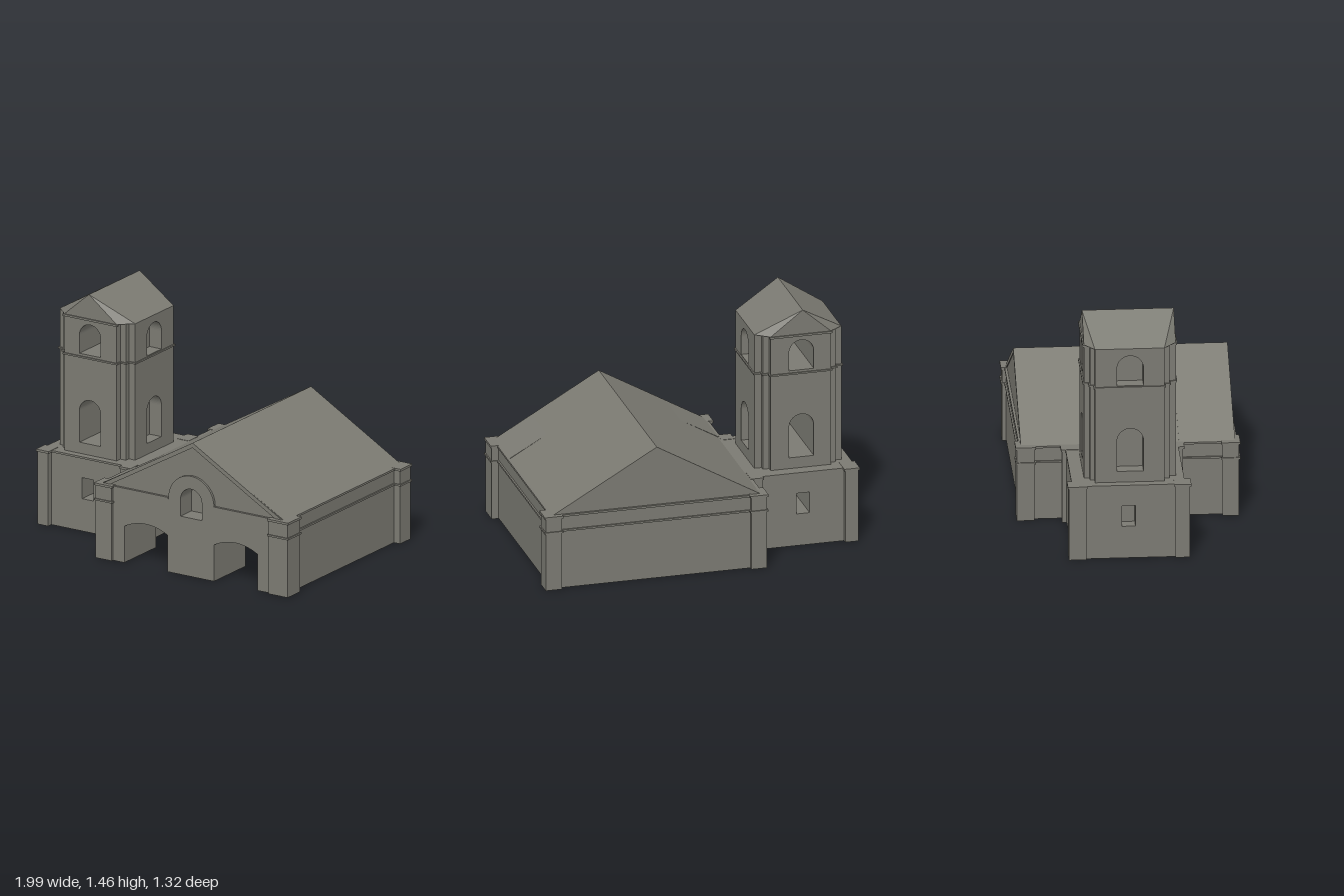
import * as THREE from 'three';

const stone = new THREE.MeshStandardMaterial({ color: 0x7b7a72 });
stone.name = 'stone';

export function createModel() {
  const root = new THREE.Group();
  root.name = 'churchWithBellTower';

  const add = (name, geo) => {
    const m = new THREE.Mesh(geo, stone);
    m.name = name;
    root.add(m);
    return m;
  };
  const box = (name, x0, x1, y0, y1, z0, z1) => {
    const g = new THREE.BoxGeometry(x1 - x0, y1 - y0, z1 - z0);
    g.translate((x0 + x1) / 2, (y0 + y1) / 2, (z0 + z1) / 2);
    return add(name, g);
  };
  const poly = (pts) => new THREE.Shape(pts.map(([x, y]) => new THREE.Vector2(x, y)));
  const rect = (x0, x1, y0, y1) => poly([[x0, y0], [x1, y0], [x1, y1], [x0, y1]]);
  // round-headed opening
  const arch = (cx, r, y0, top) => {
    const p = new THREE.Path();
    p.moveTo(cx - r, y0);
    p.lineTo(cx + r, y0);
    p.lineTo(cx + r, top - r);
    p.absarc(cx, top - r, r, 0, Math.PI, false);
    p.lineTo(cx - r, y0);
    return p;
  };
  const extrude = (shape, depth) =>
    new THREE.ExtrudeGeometry(shape, { depth, bevelEnabled: false, curveSegments: 14 });
  // shape drawn in (x, y), running along z
  const alongZ = (name, shape, z0, z1) => add(name, extrude(shape, z1 - z0).translate(0, 0, z0));
  // shape drawn in (-z, y), running along x
  const alongX = (name, shape, x0, x1) =>
    add(name, extrude(shape, x1 - x0).rotateY(Math.PI / 2).translate(x0, 0, 0));

  // ---- Hall: facade with two low arches, gable and niche window ----
  const L = -0.335, R = 0.945, ridgeX = 0.305, eave = 0.46, ridge = 0.825;
  const facadeOutline = (top) => {
    const s = new THREE.Shape();
    s.moveTo(L, 0);
    for (const [a, b] of [[-0.17, 0.135], [0.46, 0.765]]) {
      s.lineTo(a, 0);
      s.lineTo(a, 0.225);
      s.quadraticCurveTo((a + b) / 2, 0.305, b, 0.225);
      s.lineTo(b, 0);
    }
    s.lineTo(R, 0);
    s.lineTo(R, eave);
    top(s);
    s.lineTo(L, eave);
    s.holes.push(arch(0.3, 0.075, 0.36, 0.54));
    return s;
  };
  alongZ('frontWallAndGable', facadeOutline((s) => s.lineTo(ridgeX, ridge - 0.005)), 0.3, 0.622);
  alongZ('frontFacing', facadeOutline((s) => {
    s.lineTo(0.46, eave);
    s.absarc(0.3, eave, 0.16, 0, Math.PI, false);
  }), 0.622, 0.637);
  box('windowBack', 0.22, 0.38, 0.35, 0.55, 0.5, 0.52);

  box('rightWall', L, L + 0.06, 0, eave, -0.63, 0.3);
  box('leftWall', R - 0.06, R, 0, eave, -0.63, 0.3);
  box('backWall', L, R, 0, eave, -0.63, -0.57);
  alongZ('backGable', poly([[L + 0.01, eave], [R - 0.01, eave], [ridgeX, ridge - 0.005]]), -0.625, -0.58);
  alongZ('hallRoof', poly([[-0.33, eave], [-0.28, eave], [ridgeX, ridge - 0.03],
    [0.89, eave], [0.94, eave], [ridgeX, ridge]]), -0.63, 0.63);

  // corner piers with caps and string courses
  const pier = (x0, x1, z0, z1, string) => {
    box('pier', x0, x1, 0, eave - 0.008, z0, z1);
    const o = 0.007;
    box('pierCap', x0 - o, x1 + o, eave - 0.01, eave + 0.004, z0 - o, z1 + o);
    if (string) box('pierString', x0 - o, x1 + o, 0.357, 0.368, z0 - o, z1 + o);
  };
  pier(-0.363, -0.25, 0.555, 0.652, true);
  pier(0.855, 0.988, 0.52, 0.652, true);
  pier(-0.36, -0.265, -0.655, -0.55, true);
  pier(0.89, 0.988, -0.655, -0.545, true);

  // wall string courses and top cornices
  for (const [y0, y1] of [[0.357, 0.368], [0.45, 0.462]]) {
    box('leftCornice', R - 0.01, R + 0.01, y0, y1, -0.63, 0.6);
    box('rightCornice', L - 0.01, L + 0.01, y0, y1, -0.63, 0.6);
    box('backCornice', L, R, y0, y1, -0.64, -0.62);
  }
  box('frontCorniceRight', -0.26, 0.14, 0.45, 0.462, 0.63, 0.643);
  box('frontCorniceLeft', 0.46, 0.87, 0.45, 0.462, 0.63, 0.643);

  // ---- Tower base ----
  const base = rect(-0.9, -0.335, 0, 0.455);
  base.holes.push(rect(-0.7, -0.62, 0.2, 0.33));
  alongZ('towerBase', base, -0.365, 0.285);
  const baseSide = rect(-0.285, 0.365, 0, 0.455);
  baseSide.holes.push(rect(0, 0.08, 0.2, 0.33));
  alongX('towerBaseSide', baseSide, -0.975, -0.9);
  box('towerBaseCornice', -0.982, -0.335, 0.45, 0.462, -0.372, 0.292);
  pier(-0.99, -0.915, 0.235, 0.32, false);
  pier(-0.99, -0.91, -0.392, -0.29, false);
  pier(-0.405, -0.34, 0.25, 0.32, false);
  pier(-0.405, -0.34, -0.392, -0.3, false);

  // ---- Tower shaft: stepped corners, openings through z, niches on x ----
  const X = [-0.93, -0.888, -0.85, -0.483, -0.445, -0.4];
  const Z = [-0.295, -0.262, -0.235, 0.173, 0.205, 0.245];
  const y0 = 0.455, y1 = 1.305;
  const shaft = rect(X[2], X[3], y0, y1);
  shaft.holes.push(arch(-0.67, 0.075, 0.53, 0.8), arch(-0.67, 0.075, 1.08, 1.268));
  alongZ('towerShaft', shaft, Z[0], Z[5]);
  for (const [a, b] of [[X[0], X[2]], [X[3], X[5]]]) {
    const side = rect(-Z[3], -Z[2], y0, y1);
    side.holes.push(arch(0.028, 0.078, 0.53, 0.8), arch(0.028, 0.078, 1.072, 1.26));
    alongX('towerSide', side, a, b);
  }
  for (const [a, b] of [[X[1], X[2]], [X[3], X[4]]])
    for (const [c, d] of [[Z[1], Z[2]], [Z[3], Z[4]]]) box('towerCorner', a, b, y0, y1, c, d);

  // belt course following the stepped plan
  const o = 0.008;
  const belt = (a, b, c, d) => box('towerBelt', a - o, b + o, 1.056, 1.066, c - o, d + o);
  belt(X[2], X[3], Z[0], Z[5]);
  belt(X[1], X[4], Z[1], Z[4]);
  belt(X[0], X[5], Z[2], Z[3]);
  box('towerFrontEave', X[2] - o, X[3] + o, 1.293, 1.305, 0.24, 0.253);
  box('towerBackEave', X[2] - o, X[3] + o, 1.293, 1.305, -0.303, -0.29);

  // tower roof: chamfered eaves rising to a ridge along z
  const eaves = [[X[0], Z[3]], [X[2], Z[5]], [X[3], Z[5]], [X[5], Z[3]],
    [X[5], Z[2]], [X[3], Z[0]], [X[2], Z[0]], [X[0], Z[2]]].map(([x, z]) => [x, y1, z]);
  const front = [-0.678, 1.455, Z[5]], back = [-0.678, 1.455, Z[0]];
  const tris = [];
  for (let i = 0; i < 8; i++) {
    const a = eaves[i], b = eaves[(i + 1) % 8];
    tris.push(a, b, i < 3 || i === 7 ? front : back);
    if (i > 0 && i < 7) tris.push(eaves[0], eaves[(i + 1) % 8], a);
  }
  tris.push(eaves[3], back, front, eaves[7], front, back);
  const roof = new THREE.BufferGeometry();
  roof.setAttribute('position', new THREE.Float32BufferAttribute(tris.flat(), 3));
  roof.computeVertexNormals();
  add('towerRoof', roof);

  return root;
}
